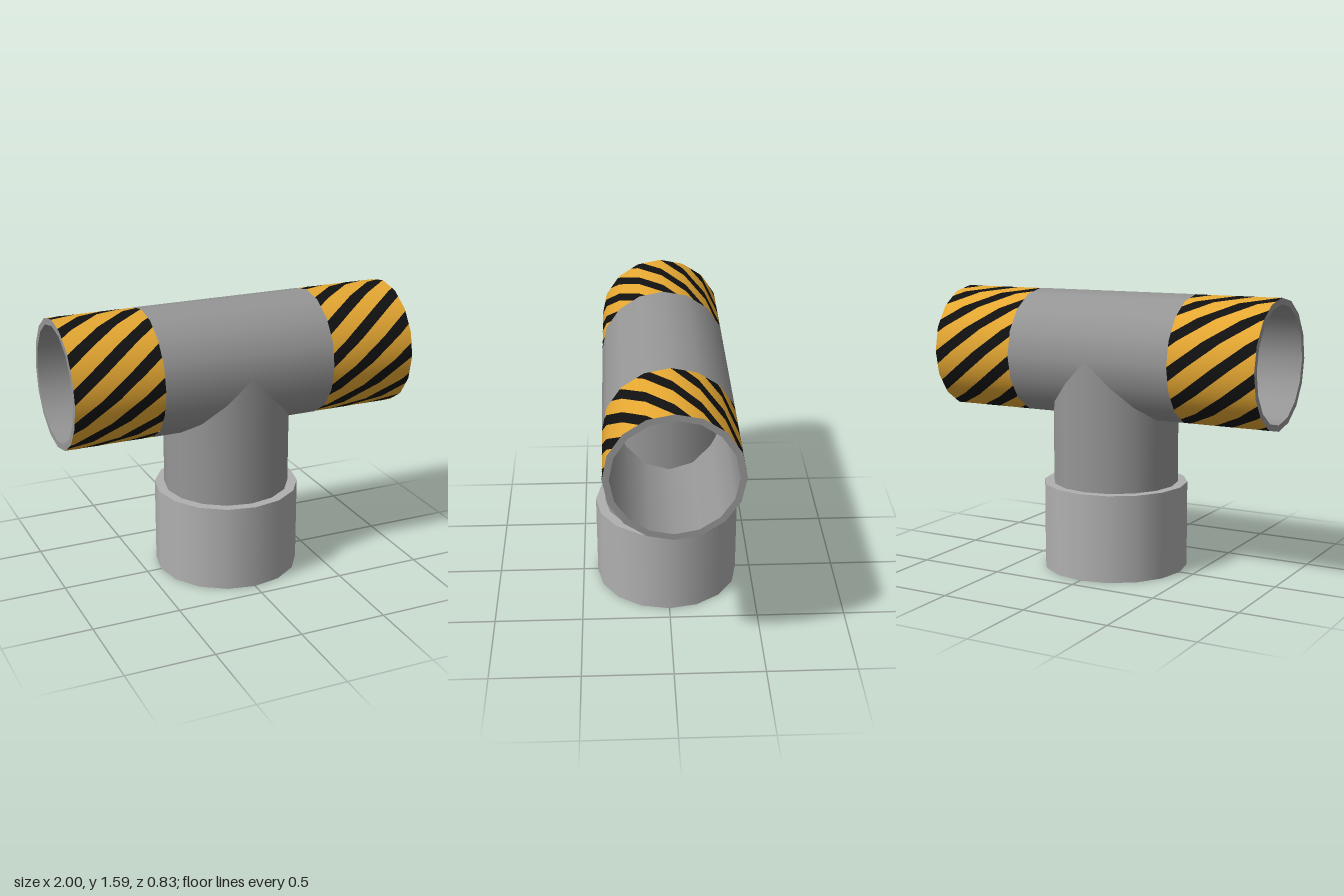
import * as THREE from 'three';
import { mergeGeometries } from 'three/addons/utils/BufferGeometryUtils.js';

const SIDES = 16, R = 0.36, INNER = 0.325, AXIS_Y = 1.228;
const STRIPES = 12, SLANT = 2.1, BLACK_SHARE = 0.42;

// Revolve each profile segment separately so rims stay sharp and walls smooth
function revolve(segments) {
  return mergeGeometries(segments.map(([r0, y0, r1, y1]) =>
    new THREE.LatheGeometry([new THREE.Vector2(r0, y0), new THREE.Vector2(r1, y1)], SIDES)));
}

// Hollow pipe wall: outside, top rim, inside, bottom rim
function pipe(outer, inner, y0, y1) {
  return revolve([
    [outer, y0, outer, y1], [outer, y1, inner, y1],
    [inner, y1, inner, y0], [inner, y0, outer, y0],
  ]);
}

// Slanted patch lying on the many-sided pipe surface between two angles
function helixStrip(x0, x1, start, width) {
  const nx = 24, nt = 6, step = (2 * Math.PI) / SIDES;
  const pos = [], nor = [], idx = [];
  for (let j = 0; j <= nt; j++) {
    for (let i = 0; i <= nx; i++) {
      const dx = ((x1 - x0) * i) / nx;
      const t = start + (width * j) / nt + SLANT * dx;
      const local = t - Math.floor(t / step) * step - step / 2;
      const r = (R * Math.cos(step / 2)) / Math.cos(local);
      pos.push(x0 + dx, AXIS_Y + r * Math.sin(t), r * Math.cos(t));
      nor.push(0, Math.sin(t), Math.cos(t));
      if (i < nx && j < nt) {
        const a = j * (nx + 1) + i, b = a + nx + 1;
        idx.push(a, a + 1, b + 1, a, b + 1, b);
      }
    }
  }
  const g = new THREE.BufferGeometry();
  g.setAttribute('position', new THREE.Float32BufferAttribute(pos, 3));
  g.setAttribute('normal', new THREE.Float32BufferAttribute(nor, 3));
  g.setIndex(idx);
  return g;
}

function stripeSet(x0, x1, offset, share) {
  const pitch = (2 * Math.PI) / STRIPES;
  return mergeGeometries(Array.from({ length: STRIPES }, (_, k) =>
    helixStrip(x0, x1, (k + offset) * pitch, share * pitch)));
}

export function createModel() {
  const material = (name, color) => {
    const m = new THREE.MeshStandardMaterial({ color });
    m.name = name;
    return m;
  };
  const grey = material('pipe grey', 0x969696);
  const lightGrey = material('collar light grey', 0xb0b0b0);
  const yellow = material('warning yellow', 0xe6a832);
  const black = material('warning black', 0x111111);

  const model = new THREE.Group();
  model.name = 'teePipe';
  const add = (name, geometry, mat) => {
    const mesh = new THREE.Mesh(geometry, mat);
    mesh.name = name;
    model.add(mesh);
    return mesh;
  };

  // Horizontal pipe: bare middle, full-length bore and the two end rims
  const main = add('mainPipe', revolve([
    [R, -0.5, R, 0.5], [INNER, 1, INNER, -1],
    [R, 1, INNER, 1], [INNER, -1, R, -1],
  ]), grey);
  main.rotation.z = -Math.PI / 2;
  main.position.y = AXIS_Y;

  // Striped bands at both ends
  for (const [side, x0] of [['right', -1], ['left', 0.5]]) {
    add(side + 'BandBlack', stripeSet(x0, x0 + 0.5, 0, BLACK_SHARE), black);
    add(side + 'BandYellow', stripeSet(x0, x0 + 0.5, BLACK_SHARE, 1 - BLACK_SHARE), yellow);
  }

  // Branch pipe and the wider socket collar below it
  add('branchPipe', pipe(R, INNER, 0.48, AXIS_Y), grey);
  add('collar', pipe(0.415, 0.358, 0, 0.495), lightGrey);

  return model;
}
